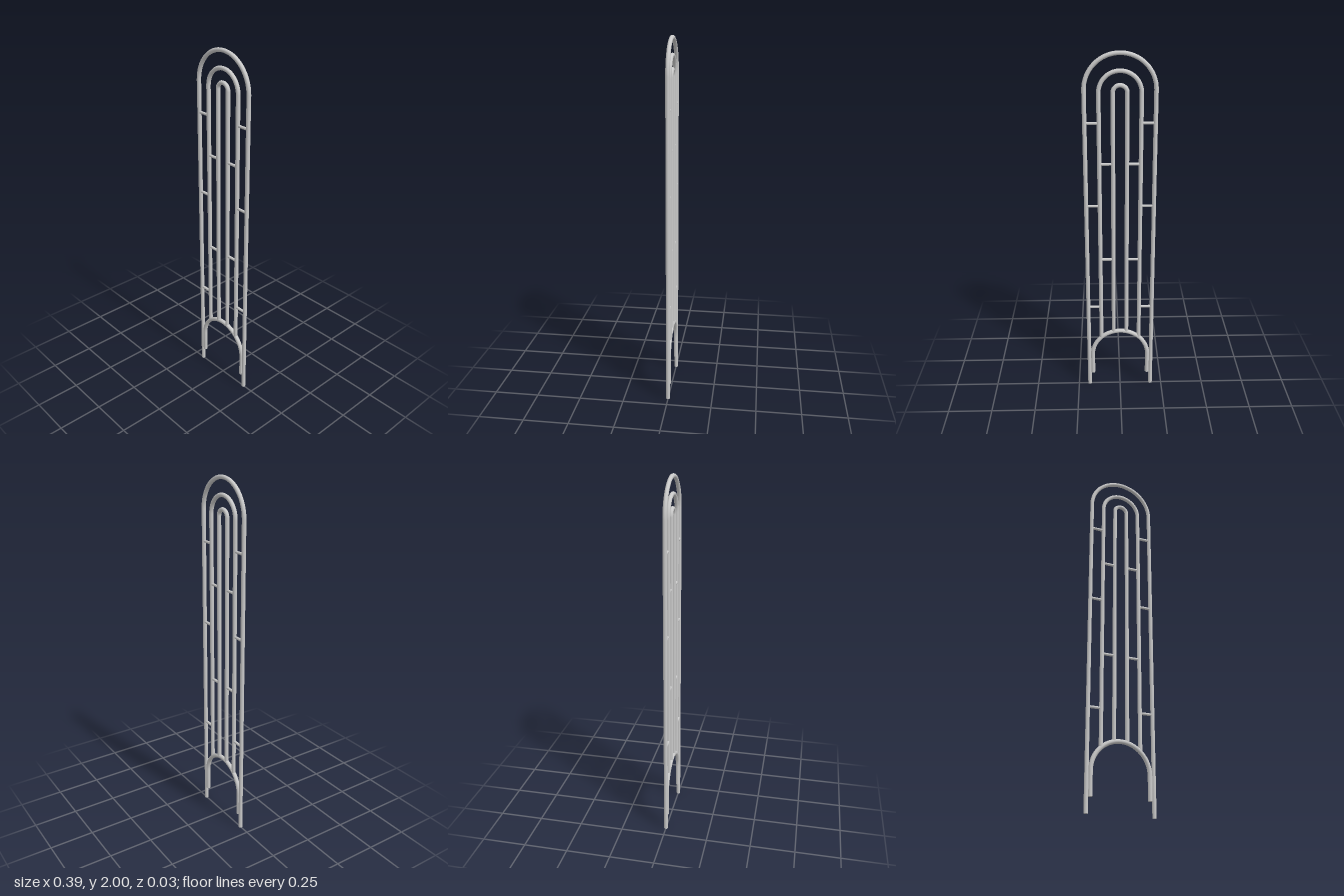
import * as THREE from 'three';

const SIDES = 8;

export function createModel() {
  const model = new THREE.Group();
  const material = new THREE.MeshStandardMaterial({ color: 0xcccccc });

  function add(parent, name, geometry, x, y) {
    const mesh = new THREE.Mesh(geometry, material);
    mesh.name = name;
    mesh.position.set(x, y, 0);
    parent.add(mesh);
    return mesh;
  }

  // Round-topped hoop: half-ring bend on two straight legs
  function addHoop(name, radius, spring, bottom, tube) {
    const hoop = new THREE.Group();
    hoop.name = name;
    add(hoop, name + 'Bend', new THREE.TorusGeometry(radius, tube, SIDES, 32, Math.PI), 0, spring);
    const length = spring - bottom;
    for (const side of [-1, 1]) {
      add(hoop, name + (side > 0 ? 'LeftLeg' : 'RightLeg'),
        new THREE.CylinderGeometry(tube, tube, length, SIDES), side * radius, bottom + length / 2);
    }
    model.add(hoop);
  }

  // Nested hoops; the inner two stand on the base arch
  addHoop('outerHoop', 0.184, 1.805, 0, 0.0115);
  addHoop('middleHoop', 0.11, 1.791, 0.331, 0.0115);
  addHoop('innerHoop', 0.037, 1.792, 0.368, 0.0115);
  addHoop('baseArch', 0.163, 0.212, 0.083, 0.0125);

  // Short rungs tying neighbouring hoops together on both sides
  function addRungs(name, x0, x1, heights) {
    for (const y of heights) {
      for (const side of [-1, 1]) {
        const rung = add(model, name,
          new THREE.CylinderGeometry(0.008, 0.008, x1 - x0, SIDES), side * (x0 + x1) / 2, y);
        rung.rotation.z = Math.PI / 2;
      }
    }
  }
  addRungs('outerRung', 0.11, 0.184, [0.541, 1.174, 1.634]);
  addRungs('innerRung', 0.037, 0.11, [0.849, 1.412]);

  return model;
}
